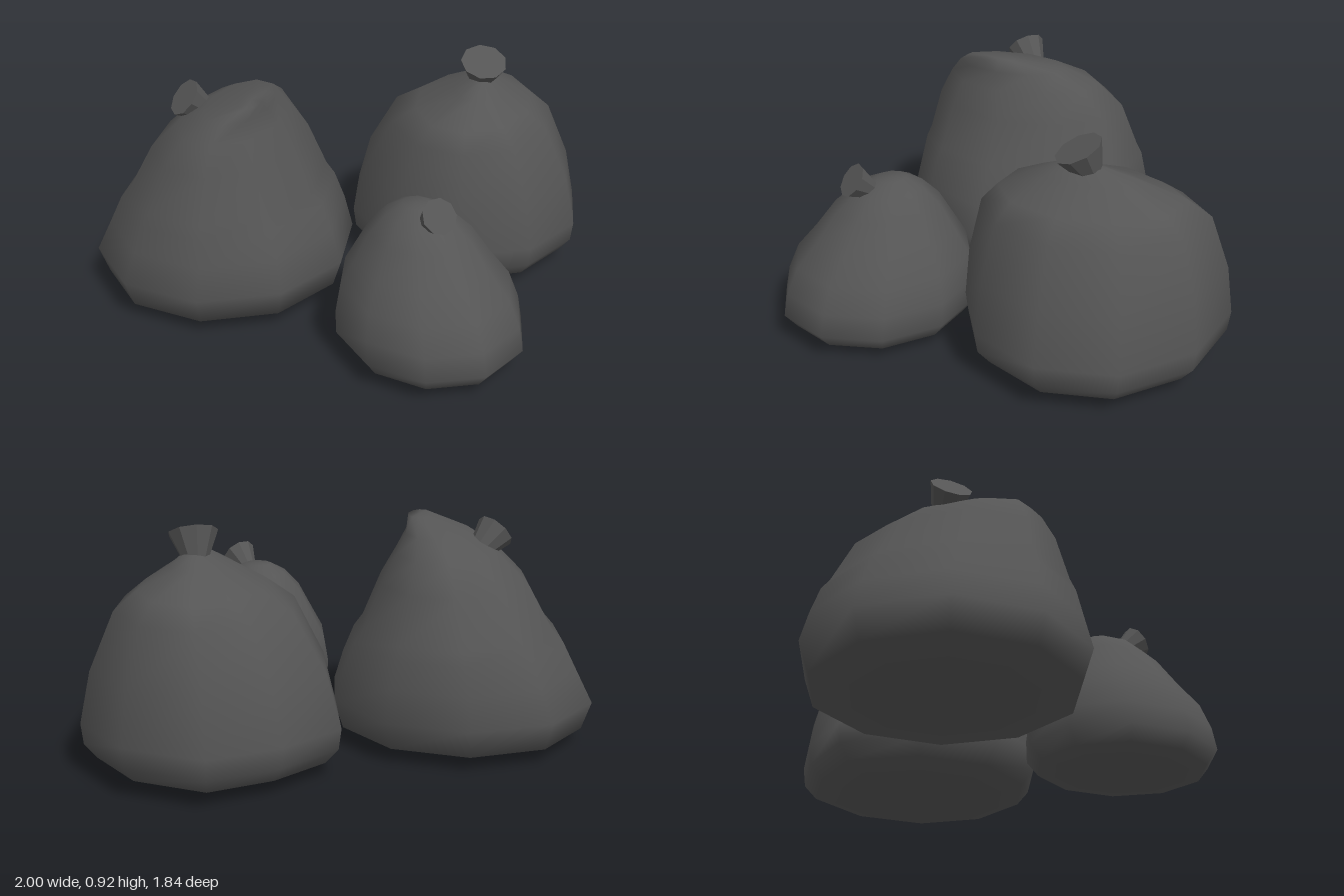
import * as THREE from 'three';

const SIDES = 10;
const material = new THREE.MeshStandardMaterial({ color: 0x555555 });
const knotMaterial = new THREE.MeshStandardMaterial({ color: 0x555555, flatShading: true });

// Loft a slumped sack: profile pairs are [height, width scale], bottom to top.
// Above the widest ring, as the sack narrows, the centre drifts along `lean`
// (with a power per axis) and the ring stretches along the x = -z diagonal.
// A `flatBack` over 1 squares off the rear of every ring.
function sackGeometry({ base, radius, lean, curve, stretch, flatBack, profile }) {
  const pos = [], index = [];
  const reach = Math.cos(Math.PI / SIDES); // a decagon's half width across its flats
  const widest = profile.findIndex(([, s]) => s === 1);
  const centers = profile.map(([y, s], r) => {
    const narrowing = r > widest ? 1 - s : 0;
    const [x, z] = [0, 1].map((k) => base[k] + lean[k] * Math.pow(narrowing, curve[k]));
    return [x, y, z];
  });
  profile.forEach(([y, s], r) => {
    const k = r > widest ? stretch * (1 - s) : 0;
    for (let i = 0; i < SIDES; i++) {
      const t = (i / SIDES) * Math.PI * 2;
      const c = Math.cos(t);
      const x = (Math.sin(t) * radius[0] * s) / reach;
      const z = (c < 0 ? Math.max(c * flatBack, -1) : c) * radius[1] * s;
      pos.push(centers[r][0] + x - k * z, y, centers[r][2] + z - k * x);
    }
  });
  // Close both ends with a fan around a centre point
  const last = (profile.length - 1) * SIDES, bottom = profile.length * SIDES;
  pos.push(...centers[0], ...centers[centers.length - 1]);
  for (let i = 0; i < SIDES; i++) {
    const j = (i + 1) % SIDES;
    for (let row = 0; row < last; row += SIDES) {
      const a = row + i, b = row + j;
      index.push(a, b, b + SIDES, a, b + SIDES, a + SIDES);
    }
    index.push(bottom, j, i, bottom + 1, last + i, last + j);
  }
  const geo = new THREE.BufferGeometry();
  geo.setAttribute('position', new THREE.Float32BufferAttribute(pos, 3));
  geo.setIndex(index);
  geo.computeVertexNormals();
  return geo;
}

// Flared tied end whose wide disc is centred on `center` and faces `normal`
function knotMesh({ center, normal, radius, length }) {
  const geo = new THREE.CylinderGeometry(radius, radius * 0.5, length, 9);
  geo.translate(0, -length / 2, 0);
  const mesh = new THREE.Mesh(geo, knotMaterial);
  mesh.position.set(...center);
  mesh.quaternion.setFromUnitVectors(new THREE.Vector3(0, 1, 0), new THREE.Vector3(...normal).normalize());
  return mesh;
}

const BAGS = [
  {
    name: 'largeBag', // leans forward, with a sagging fold around its lower half
    base: [-0.485, -0.393], radius: [0.51, 0.53], lean: [0.05, 0.32], curve: [0.4, 2.5],
    stretch: 0.45, flatBack: 1,
    profile: [[0.025, 0.5], [0.06, 0.93], [0.17, 1], [0.3, 0.93], [0.41, 0.86],
      [0.46, 0.8], [0.64, 0.66], [0.75, 0.5], [0.82, 0.34], [0.87, 0.14]],
    knot: { center: [-0.62, 0.82, -0.43], normal: [-0.77, 0.64, 0], radius: 0.08, length: 0.13 },
  },
  {
    name: 'roundBag',
    base: [0.535, -0.13], radius: [0.465, 0.495], lean: [0.01, 0.08], curve: [1, 1],
    stretch: 0.45, flatBack: 1.12,
    profile: [[0.005, 0.22], [0.02, 0.62], [0.06, 0.88], [0.12, 0.98], [0.2, 1],
      [0.4, 0.93], [0.62, 0.76], [0.69, 0.59], [0.77, 0.29], [0.81, 0.13]],
    knot: { center: [0.545, 0.88, -0.045], normal: [-0.15, 0.9, 0.42], radius: 0.095, length: 0.11 },
  },
  {
    name: 'smallBag', // slopes back from a bulging front
    base: [-0.04, 0.52], radius: [0.34, 0.4], lean: [-0.02, -0.085], curve: [0.5, 0.5],
    stretch: 0, flatBack: 1,
    profile: [[0.025, 0.5], [0.05, 0.88], [0.11, 1], [0.2, 0.98], [0.3, 0.9],
      [0.39, 0.73], [0.5, 0.54], [0.57, 0.34], [0.605, 0.15]],
    knot: { center: [-0.06, 0.625, 0.605], normal: [0, 0.6, 0.8], radius: 0.07, length: 0.1 },
  },
];

export function createModel() {
  const model = new THREE.Group();
  model.name = 'bagPile';
  for (const spec of BAGS) {
    const bag = new THREE.Group();
    bag.name = spec.name;
    const sack = new THREE.Mesh(sackGeometry(spec), material);
    sack.name = 'sack';
    const tie = knotMesh(spec.knot);
    tie.name = 'knot';
    bag.add(sack, tie);
    model.add(bag);
  }
  return model;
}
